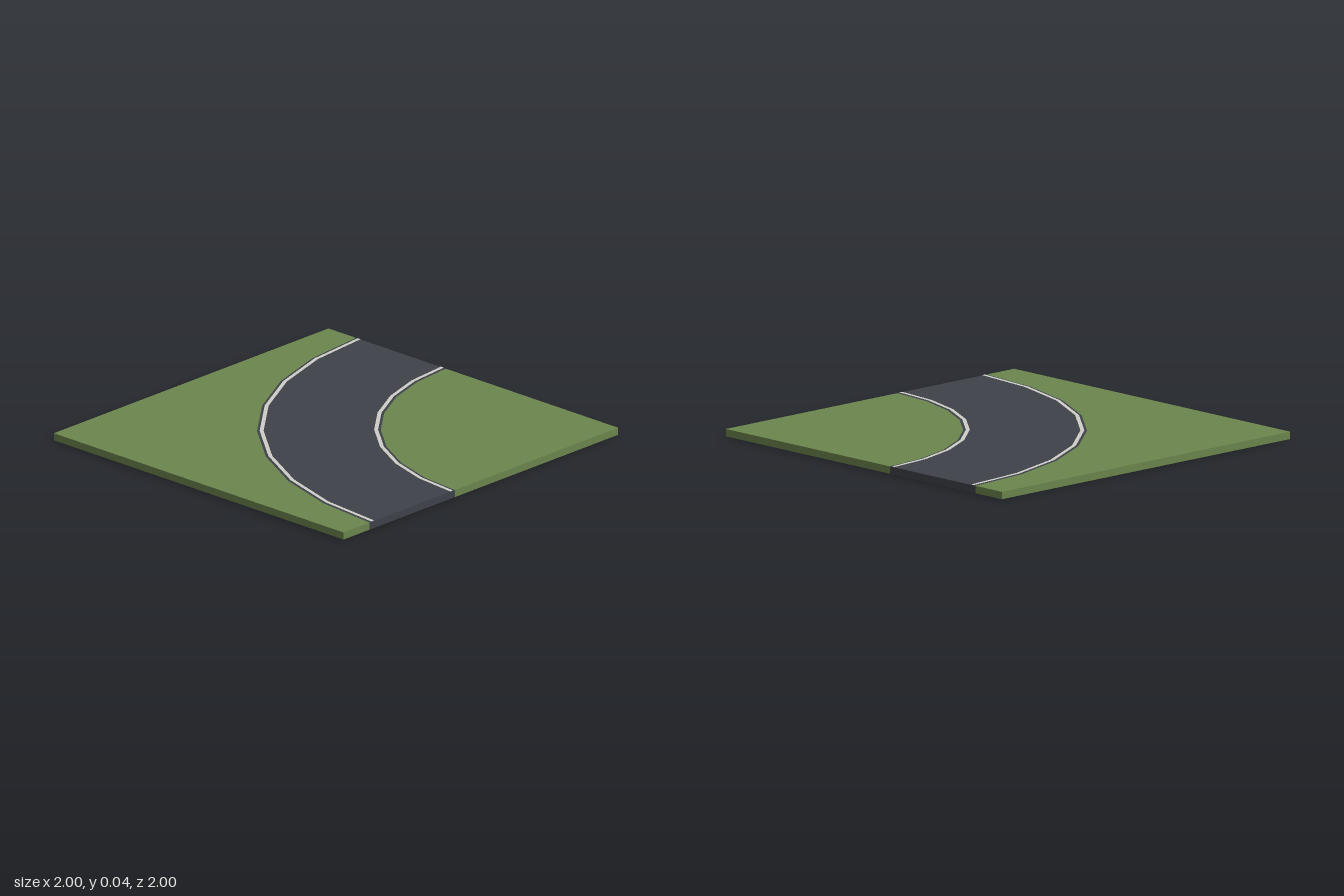
import * as THREE from 'three';

const HEIGHT = 0.038; // slab height
const STEPS = 8;      // straight pieces in each quarter bend
const INNER = 1.19, OUTER = 1.81; // road edges, measured from the corner x = 1, z = -1

const flat = (color, name) => new THREE.MeshStandardMaterial({ color, name, side: THREE.DoubleSide });

// Points [x, z] of a quarter bend, from the back edge to the +x edge
function bend(r) {
  return Array.from({ length: STEPS + 1 }, (_, i) => {
    const a = (i / STEPS) * Math.PI / 2;
    return [1 - r * Math.cos(a), -1 + r * Math.sin(a)];
  });
}

const band = (r0, r1) => [...bend(r0), ...bend(r1).reverse()];

// Horizontal plate facing up, from an outline of [x, z] points
function plate(outline, y) {
  const shape = new THREE.Shape(outline.map(([x, z]) => new THREE.Vector2(x, -z)));
  return new THREE.ShapeGeometry(shape).rotateX(-Math.PI / 2).translate(0, y, 0);
}

// Vertical wall standing on y = 0 along a line of [x, z] points
function wall(line) {
  const pos = [];
  for (let i = 0; i < line.length - 1; i++) {
    const [ax, az] = line[i], [bx, bz] = line[i + 1];
    pos.push(ax, 0, az, ax, HEIGHT, az, bx, HEIGHT, bz);
    pos.push(ax, 0, az, bx, HEIGHT, bz, bx, 0, bz);
  }
  const geo = new THREE.BufferGeometry();
  geo.setAttribute('position', new THREE.Float32BufferAttribute(pos, 3));
  geo.computeVertexNormals();
  return geo;
}

export function createModel() {
  const model = new THREE.Group();
  model.name = 'roadCornerTile';
  const grass = flat(0x6c864d, 'grassGreen');
  const asphalt = flat(0x3e4249, 'asphaltGrey');
  const paint = flat(0xcfcec9, 'linePaint');

  const add = (name, geometry, material) => {
    const mesh = new THREE.Mesh(geometry, material);
    mesh.name = name;
    model.add(mesh);
  };

  // Grass on both sides of the road
  add('innerGrass', plate([[1, -1], ...bend(INNER)], HEIGHT), grass);
  add('outerGrass', plate([...bend(OUTER), [1, 1], [-1, 1], [-1, -1]], HEIGHT), grass);

  // Outer rim of the hollow tile
  add('innerGrassRim', wall([[1 - INNER, -1], [1, -1], [1, INNER - 1]]), grass);
  add('outerGrassRim', wall([[1, OUTER - 1], [1, 1], [-1, 1], [-1, -1], [1 - OUTER, -1]]), grass);

  // Curved ribs under the tile
  for (const r of [1, 2]) add('undersideRib', wall(bend(r)), grass);

  // Road surface and its two cut ends
  add('road', plate(band(INNER, OUTER), HEIGHT), asphalt);
  add('roadEndBack', wall([[1 - OUTER, -1], [1 - INNER, -1]]), asphalt);
  add('roadEndSide', wall([[1, INNER - 1], [1, OUTER - 1]]), asphalt);

  // Painted edge lines
  add('innerEdgeLine', plate(band(1.203, 1.223), HEIGHT + 0.002), paint);
  add('outerEdgeLine', plate(band(1.777, 1.797), HEIGHT + 0.002), paint);

  return model;
}
